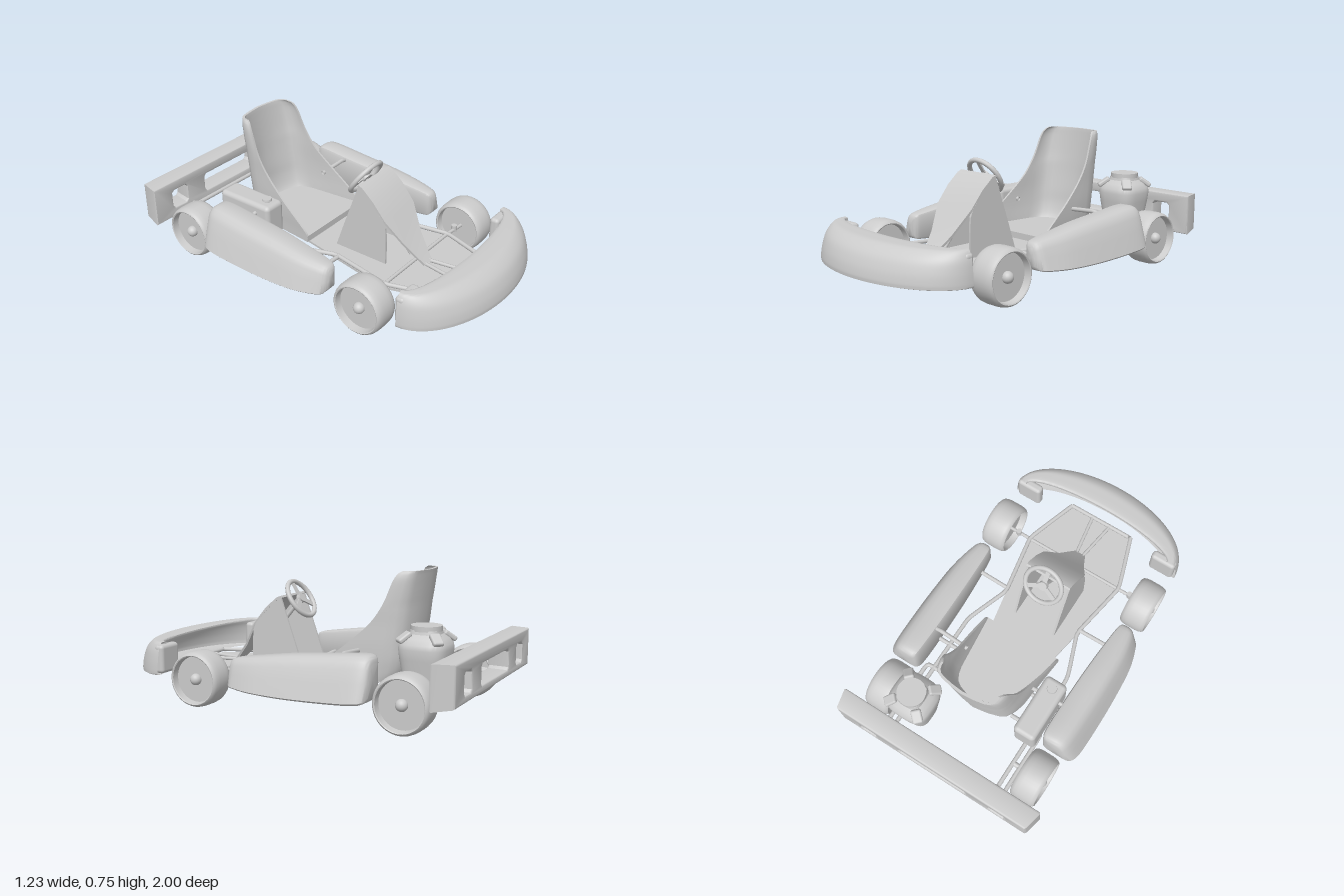
import * as THREE from 'three';
import { toCreasedNormals } from 'three/addons/utils/BufferGeometryUtils.js';
import { RoundedBoxGeometry } from 'three/addons/geometries/RoundedBoxGeometry.js';

const mat = new THREE.MeshStandardMaterial({ color: 0xcccccc, side: THREE.DoubleSide });
const V = (p) => new THREE.Vector3(...p);

function add(parent, name, geo, pos = [0, 0, 0]) {
  const mesh = new THREE.Mesh(geo, mat);
  mesh.name = name;
  mesh.position.set(...pos);
  parent.add(mesh);
  return mesh;
}

// Skin a list of equal-length rings; optionally close each ring and cap the ends.
function loft(rings, closed = true, caps = closed, crease = 0.7) {
  const n = rings[0].length, pos = rings.flat(2), idx = [];
  for (let i = 0; i < rings.length - 1; i++)
    for (let j = 0; j < (closed ? n : n - 1); j++) {
      const k = (j + 1) % n, a = i * n + j, b = i * n + k;
      idx.push(a, b, a + n, b, b + n, a + n);
    }
  if (caps) [0, rings.length - 1].forEach((r) => {
    const c = pos.length / 3;
    pos.push(...[0, 1, 2].map((d) => rings[r].reduce((s, p) => s + p[d], 0) / n));
    for (let j = 0; j < n; j++) {
      const a = r * n + j, b = r * n + (j + 1) % n;
      idx.push(...(r ? [a, b, c] : [b, a, c]));
    }
  });
  const g = new THREE.BufferGeometry();
  g.setAttribute('position', new THREE.Float32BufferAttribute(pos, 3));
  g.setIndex(idx);
  return toCreasedNormals(g, crease);
}

// Tube with nearly straight runs between the given points.
function tube(parent, name, pts, r = 0.012) {
  const path = new THREE.CatmullRomCurve3(pts.map(V), false, 'catmullrom', 0.08);
  return add(parent, name, new THREE.TubeGeometry(path, pts.length * 10, r, 10));
}

function plan(points) {
  return new THREE.Shape(points.map((p) => new THREE.Vector2(...p)));
}

// Smooth resampling of a table of stations.
function smooth(rows, count) {
  const at = (c, t) => {
    const f = t * (rows.length - 1), i = Math.min(Math.floor(f), rows.length - 2), u = f - i;
    const p = (k) => rows[Math.max(0, Math.min(rows.length - 1, k))][c];
    const a = (p(i + 1) - p(i - 1)) / 2, b = (p(i + 2) - p(i)) / 2, d = p(i + 1) - p(i);
    return p(i) + u * a + u * u * (3 * d - 2 * a - b) + u * u * u * (a + b - 2 * d);
  };
  return Array.from({ length: count + 1 }, (_, k) => rows[0].map((_, c) => at(c, k / count)));
}

function wheel(parent, name, side, y, z) {
  const g = new THREE.Group();
  g.name = name;
  const profile = [[0, 0.035], [0.122, 0.035], [0.126, 0.072], [0.131, 0.075], [0.139, 0.069],
    [0.145, 0.055], [0.148, 0.03], [0.148, -0.03], [0.145, -0.055], [0.139, -0.069], [0.131, -0.075],
    [0.126, -0.072], [0.122, -0.035], [0, -0.035]].reverse();
  const geo = new THREE.LatheGeometry(profile.map((p) => new THREE.Vector2(...p)), 40);
  add(g, 'tyreAndRim', toCreasedNormals(geo.rotateZ(-Math.PI / 2), 0.6));
  add(g, 'hub', new THREE.SphereGeometry(0.031, 20, 14), [side * 0.042, 0, 0]);
  g.position.set(side * 0.472 + 0.004, y, z);
  parent.add(g);
}

export function createModel() {
  const kart = new THREE.Group();
  kart.name = 'kart';
  const y = 0.18; // height of the frame tubes

  // Wheels, front axle and steering knuckles
  for (const s of [-1, 1]) {
    wheel(kart, 'frontWheel', s, s < 0 ? 0.152 : 0.164, 0.455);
    wheel(kart, 'rearWheel', s, s < 0 ? 0.152 : 0.164, -0.715);
    add(kart, 'knuckle', new THREE.CylinderGeometry(0.016, 0.016, 0.036, 14), [s * 0.375, 0.18, 0.455]);
    tube(kart, 'rearStub', [[s * 0.33, y, -0.715], [s * 0.46, 0.16, -0.715]], 0.014);
  }
  tube(kart, 'frontAxle', [[-0.46, 0.165, 0.46], [-0.3, 0.175, 0.455], [0.3, 0.175, 0.455], [0.46, 0.165, 0.46]], 0.01);

  // Floor pan
  const floor = new THREE.ExtrudeGeometry(plan([[-0.2, 0.77], [-0.305, 0.46], [-0.15, -0.4],
    [0.15, -0.4], [0.305, 0.46], [0.2, 0.77]]), { depth: 0.012, bevelEnabled: false });
  add(kart, 'floorPan', floor.rotateX(Math.PI / 2), [0, 0.163, 0]);

  // Tubular frame
  for (const s of [-1, 1]) {
    tube(kart, 'mainRail', [[s * 0.33, y, -0.88], [s * 0.33, y, -0.16], [s * 0.24, y, 0.1],
      [s * 0.3, y, 0.46], [s * 0.2, y, 0.77]]);
    tube(kart, 'outerRail', [[s * 0.375, y, -0.88], [s * 0.375, y, -0.52], [s * 0.36, y, -0.5], [s * 0.18, y, -0.5]]);
    tube(kart, 'podFrontMount', [[s * 0.24, y, 0.12], [s * 0.45, y + 0.01, 0.12]]);
    tube(kart, 'podRearMount', [[s * 0.18, y, -0.34], [s * 0.45, y, -0.34]]);
    tube(kart, 'seatStay', [[s * 0.2, 0.34, -0.345], [s * 0.37, 0.35, -0.34], [s * 0.42, 0.34, -0.34]]);
    tube(kart, 'noseBrace', [[s * 0.02, y, 0.52], [s * 0.06, y, 0.78]], 0.01);
    tube(kart, 'bumperMount', [[s * 0.33, y, -0.86], [s * 0.33, 0.22, -0.93]]);
  }
  tube(kart, 'rearCrossbar', [[-0.375, y, -0.88], [0.375, y, -0.88]]);
  tube(kart, 'frontCrossbar', [[-0.2, y, 0.77], [0.2, y, 0.77]]);

  // Nose fairing: curved shell, open to the rear, with a flat underside
  const noseProfile = [...smooth([[0, 0.315], [0, 0.338], [0.3, 0.34], [0.55, 0.333], [0.8, 0.295],
    [0.94, 0.24], [1, 0.19], [1, 0.167]], 32), [0.97, 0.165], [0.3, 0.166]];
  const noseRings = [];
  for (let i = 0; i <= 48; i++) {
    const a = (i / 48 - 0.5) * Math.PI, s = Math.sin(a), c = Math.cos(a);
    noseRings.push(noseProfile.map(([u, h]) => [
      s * (0.47 + 0.068 * u), h, (0.68 + 0.105 * c) * (1 - u) + (0.692 + 0.308 * c) * u]));
  }
  add(kart, 'noseFairing', loft(noseRings, false, false, 0.8));
  for (const s of [-1, 1])
    add(kart, 'noseEndReturn', new RoundedBoxGeometry(0.15, 0.155, 0.055, 3, 0.02), [s * 0.447, 0.247, 0.697]);

  // Side pods: z, inner x, outer x, bottom, top
  const podRows = smooth([[-0.555, 0.44, 0.55, 0.18, 0.335], [-0.54, 0.41, 0.585, 0.16, 0.368],
    [-0.48, 0.4, 0.607, 0.15, 0.376], [-0.3, 0.4, 0.613, 0.143, 0.36], [-0.1, 0.405, 0.61, 0.14, 0.342],
    [0.08, 0.415, 0.597, 0.144, 0.318], [0.2, 0.425, 0.565, 0.15, 0.3], [0.24, 0.435, 0.54, 0.155, 0.288],
    [0.255, 0.455, 0.51, 0.175, 0.265]], 40);
  for (const s of [-1, 1]) {
    const rings = podRows.map(([z, xi, xo, b, t]) => {
      const w = xo - xi, h = t - b;
      return [[0.05, 0], [0.5, -0.01], [0.96, 0], [1, 0.04], [0.86, 0.45], [0.75, 0.75], [0.67, 0.89], [0.56, 0.97],
        [0.42, 1], [0.1, 1], [0.03, 0.97], [0, 0.9], [0, 0.08]].map(([u, v]) => [xi + u * w, b + v * h, z]);
    });
    add(kart, 'sidePod', loft(rings)).scale.x = s;
  }

  // Rear bumper with three openings, narrowing and rising toward the back
  const face = plan([[-0.595, 0.18], [0.595, 0.18], [0.595, 0.383], [-0.595, 0.383]]);
  for (const [x, w] of [[0, 0.235], [-0.42, 0.065], [0.42, 0.065]])
    face.holes.push(plan([[-w, 0.235], [-w, 0.325], [-w + 0.02, 0.345], [w - 0.02, 0.345],
      [w, 0.325], [w, 0.235], [w - 0.02, 0.215], [-w + 0.02, 0.215]].map(([a, b]) => [x + a, b])));
  const bumper = new THREE.ExtrudeGeometry(face, { depth: 0.092, bevelThickness: 0.011, bevelSize: 0.01, bevelSegments: 3 });
  bumper.translate(0, 0, -0.988);
  const bp = bumper.attributes.position;
  for (let i = 0; i < bp.count; i++) {
    const t = (-0.885 - bp.getZ(i)) / 0.114;
    bp.setX(i, bp.getX(i) * (1.012 - 0.045 * t));
    if (bp.getY(i) < 0.2) bp.setY(i, bp.getY(i) + 0.02 * t);
  }
  add(kart, 'rearBumper', toCreasedNormals(bumper, 0.6));

  // Bucket seat: height, front edge z, back z, half width at the back (flaring forward)
  const seatRows = smooth([[0.18, -0.1, -0.54, 0.198], [0.23, -0.11, -0.575, 0.2], [0.3, -0.19, -0.595, 0.205],
    [0.38, -0.29, -0.605, 0.207], [0.48, -0.4, -0.62, 0.205], [0.58, -0.47, -0.632, 0.205],
    [0.69, -0.515, -0.645, 0.198], [0.735, -0.54, -0.65, 0.187], [0.752, -0.565, -0.652, 0.172]], 40);
  const seatPlan = (f, b, w) => {
    const c = Math.min(0.13, (f - b) * 0.8);
    return [[1, f], [1, (f + b + c) / 2], [1, b + c], [0.96, b + c * 0.65], [0.87, b + c * 0.4],
      [0.72, b + c * 0.25], [0.4, b + c * 0.1], [0, b]].map(([x, z]) => [-x * (w + 0.1 * Math.max(0, z + 0.5)), z]);
  };
  const mirror = (half) => [...half, ...half.slice(0, -1).reverse().map(([x, z]) => [-x, z])];
  const seatRing = (f, b, w) => [...mirror(seatPlan(f, b, w)), ...mirror(seatPlan(f, b + 0.015, w - 0.011)).reverse()];
  add(kart, 'seatShell', loft(seatRows.map(([h, f, b, w]) => seatRing(f, b, w).map(([x, z]) => [x, h, z])), true, false));
  const pan = new THREE.ExtrudeGeometry(plan(mirror(seatPlan(-0.1, -0.55, 0.197))), { depth: 0.035, bevelEnabled: false });
  add(kart, 'seatBase', pan.rotateX(Math.PI / 2), [0, 0.215, 0]);
  const rim = seatRows[seatRows.length - 1];
  const top = new THREE.ShapeGeometry(plan(seatRing(rim[1], rim[2], rim[3])));
  add(kart, 'seatTopEdge', top.rotateX(Math.PI / 2), [0, 0.752, 0]);

  // Steering console: tapered front sheet standing off two side plates
  const sheet = [[0.58, 0.165, 0.135], [0.57, 0.19, 0.135], [0.51, 0.26, 0.135], [0.42, 0.335, 0.133],
    [0.29, 0.425, 0.08], [0.18, 0.53, 0.033]];
  add(kart, 'consoleFront', loft(sheet.map(([h, z, w]) => [[-w, h, z], [w, h, z], [w, h - 0.01, z - 0.008], [-w, h - 0.01, z - 0.008]])));
  const sidePlate = plan([[0.165, 0.573], [0.25, 0.505], [0.325, 0.42], [0.34, 0.38], [0.345, 0.3], [0.345, 0.165],
    [0.02, 0.165], [0.07, 0.31]]);
  for (const s of [-1, 1]) {
    const g = new THREE.ExtrudeGeometry(sidePlate, { depth: 0.012, bevelEnabled: false });
    add(kart, 'consoleSide', g.rotateY(-Math.PI / 2), [s * 0.128 + 0.006, 0, 0]);
  }

  // Steering wheel and column
  const steer = new THREE.Group();
  steer.name = 'steeringWheel';
  add(steer, 'rim', new THREE.TorusGeometry(0.107, 0.0135, 12, 40));
  add(steer, 'boss', new THREE.CylinderGeometry(0.026, 0.026, 0.025, 20).rotateX(Math.PI / 2));
  for (let i = 0; i < 3; i++) {
    const a = Math.PI / 2 + i * Math.PI * 2 / 3;
    add(steer, 'spoke', new THREE.BoxGeometry(0.1, 0.026, 0.008), [Math.cos(a) * 0.055, Math.sin(a) * 0.055, 0]).rotation.z = a;
  }
  steer.position.set(0, 0.555, 0.113);
  steer.rotation.x = 0.58;
  kart.add(steer);
  tube(kart, 'steeringColumn', [[0, 0.555, 0.113], [0, 0.19, 0.42]], 0.011);

  // Engine: rounded-square body, cap and corner ears
  const engine = new THREE.Group();
  engine.name = 'engine';
  const engineRows = [[0.17, 0.09], [0.24, 0.1], [0.35, 0.118], [0.4, 0.124], [0.425, 0.12], [0.45, 0.1], [0.47, 0.075], [0.49, 0.07]];
  add(engine, 'engineBody', loft(engineRows.map(([h, r]) => Array.from({ length: 32 }, (_, k) => {
    const a = k / 32 * Math.PI * 2, c = Math.cos(a), s = Math.sin(a);
    return [Math.sign(c) * Math.abs(c) ** 0.6 * r, h, Math.sign(s) * Math.abs(s) ** 0.6 * r];
  })), true, true, 0.6));
  add(engine, 'engineCap', new THREE.CylinderGeometry(0.077, 0.077, 0.026, 32), [0, 0.497, 0]);
  for (let i = 0; i < 4; i++) {
    const pivot = new THREE.Group();
    pivot.rotation.y = Math.PI / 4 + i * Math.PI / 2;
    add(pivot, 'engineEar', new RoundedBoxGeometry(0.075, 0.026, 0.055, 2, 0.01), [0.118, 0.455, 0]).rotation.z = -0.6;
    engine.add(pivot);
  }
  engine.position.set(0.272, 0, -0.735);
  kart.add(engine);

  // Fuel tank
  add(kart, 'fuelTank', new RoundedBoxGeometry(0.13, 0.2, 0.35, 4, 0.025), [-0.32, 0.302, -0.425]);
  add(kart, 'fuelNeck', new THREE.CylinderGeometry(0.02, 0.02, 0.02, 20), [-0.32, 0.405, -0.31]);
  add(kart, 'fuelCap', new THREE.CylinderGeometry(0.026, 0.028, 0.012, 24), [-0.32, 0.415, -0.31]);

  return kart;
}
